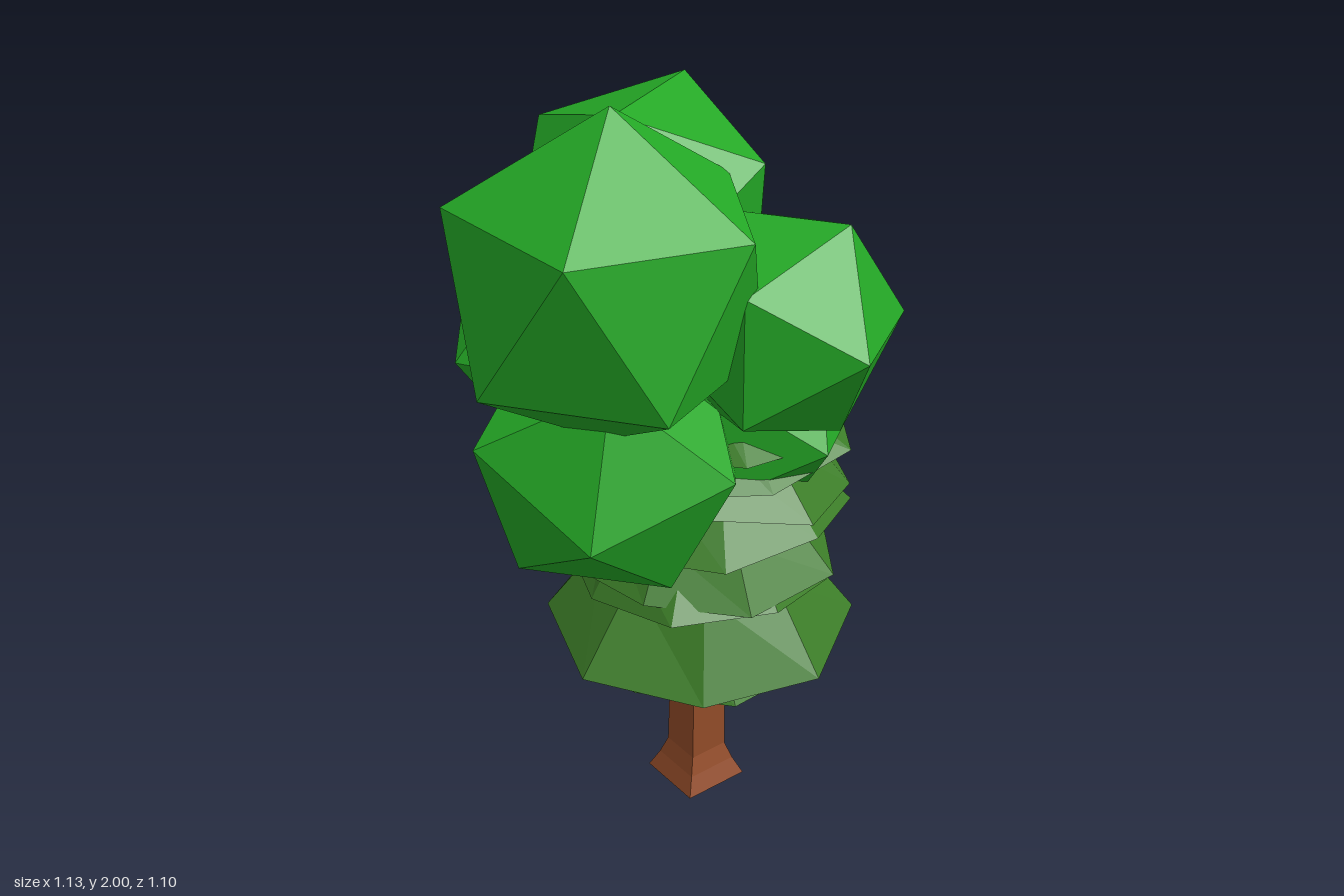
import * as THREE from 'three';

const flat = (name, color) => {
  const m = new THREE.MeshStandardMaterial({ color, flatShading: true });
  m.name = name;
  return m;
};

// Orthonormal frame whose x axis is a and whose xy plane holds b
function frame(a, b) {
  const x = a.clone().normalize();
  const z = x.clone().cross(b).normalize();
  return new THREE.Matrix4().makeBasis(x, z.clone().cross(x), z);
}

// Icosahedron turned so that one corner points along a and a neighbouring corner towards b
function clumpGeometry(radius, a, b) {
  const t = (1 + Math.sqrt(5)) / 2;
  const from = frame(new THREE.Vector3(-1, t, 0), new THREE.Vector3(1, t, 0));
  const to = frame(new THREE.Vector3(...a), new THREE.Vector3(...b));
  return new THREE.IcosahedronGeometry(radius, 0).applyMatrix4(to.multiply(from.invert()));
}

// Drooping skirt of needles with eight uneven corners and a hollow underside
function skirtGeometry(radius, height, topRadius, phase) {
  const profile = [[0, height * 0.5], [radius, 0], [topRadius, height], [0, height + 0.02]]
    .map(([r, y]) => new THREE.Vector2(r, y));
  const g = new THREE.LatheGeometry(profile, 8, phase);
  const p = g.attributes.position;
  for (let i = 0; i < p.count; i++) {
    const x = p.getX(i), z = p.getZ(i), r = Math.hypot(x, z);
    if (r < radius * 0.9) continue;
    const a = Math.atan2(z, x);
    const k = 1 + 0.05 * Math.sin(3 * a + phase * 5);
    p.setXYZ(i, x * k, p.getY(i) + 0.02 * Math.sin(2 * a + phase * 7), z * k);
  }
  return g;
}

export function createModel() {
  const model = new THREE.Group();
  model.name = 'tree';
  const bark = flat('bark brown', 0x914b28);
  const needles = flat('needle green', 0x3c7d28);
  const leaves = flat('leaf green', 0x24a826);

  const add = (name, geometry, material, x, y, z) => {
    const mesh = new THREE.Mesh(geometry, material);
    mesh.name = name;
    mesh.position.set(x, y, z);
    model.add(mesh);
    return mesh;
  };

  // Square trunk with a flared foot
  const trunk = [[0, 0], [0.094, 0], [0.072, 0.05], [0.056, 0.1], [0.05, 0.5], [0.045, 0.9], [0, 0.9]]
    .map(([half, y]) => new THREE.Vector2(half * Math.SQRT2, y));
  add('trunk', new THREE.LatheGeometry(trunk, 4, Math.PI / 4), bark, 0.163, 0, -0.035);

  // Stacked skirts: rim height, radius, height, top radius, centre x, tilt
  const skirts = [
    [0.465, 0.335, 0.2, 0.2, 0.165, 0.05],
    [0.535, 0.405, 0.22, 0.25, 0.165, 0.0],
    [0.69, 0.345, 0.14, 0.24, 0.17, -0.05],
    [0.76, 0.35, 0.14, 0.24, 0.175, 0.06],
    [0.86, 0.36, 0.15, 0.22, 0.19, -0.07],
    [0.98, 0.365, 0.14, 0.2, 0.205, -0.06],
    [1.06, 0.35, 0.14, 0.17, 0.205, 0.0],
    [1.13, 0.34, 0.16, 0.13, 0.21, -0.06],
    [1.27, 0.17, 0.14, 0.07, 0.28, -0.08],
  ];
  skirts.forEach(([y, radius, height, top, x, tilt], i) => {
    const mesh = add('needleSkirt' + (i + 1),
      skirtGeometry(radius, height, top, Math.PI / 8 + i * 0.55), needles, x, y, -0.04);
    mesh.rotation.set(i % 2 ? 0.03 : -0.03, 0, tilt);
  });

  // Pointed top
  add('needleTip', new THREE.ConeGeometry(0.07, 0.16, 6), needles, 0.33, 1.44, -0.03);

  // Leaf clumps: name, centre, radius, direction of one corner, direction of its neighbour
  const clumps = [
    ['topLeafClump', [-0.22, 1.615, 0.115], 0.385, [0, 0.38, 0.02], [-0.26, 0.16, 0.23]],
    ['rearTopLeafClump', [0.07, 1.64, -0.135], 0.337, [0.16, 0.3, -0.06], [0.14, 0.18, 0.26]],
    ['frontLeafClump', [0.145, 1.48, 0.26], 0.29, [0, 0, 1], [0.08, 0.26, 0.13]],
    ['lowerRightLeafClump', [-0.14, 1.12, 0], 0.35, [-0.22, -0.25, -0.06], [-0.22, -0.07, 0.23]],
    ['rearLeafClump', [-0.08, 1.31, -0.297], 0.285, [-0.12, 0.15, -0.213], [-0.12, -0.15, -0.213]],
    ['smallLeafClump', [0.31, 1.43, -0.255], 0.21, [0.16, 0.11, -0.09], [0.19, -0.07, 0.08]],
    ['lowerLeftLeafClump', [0.23, 1.175, -0.02], 0.36, [0.27, 0.205, -0.16], [0.325, -0.035, 0.16]],
  ];
  for (const [name, centre, radius, a, b] of clumps) {
    add(name, clumpGeometry(radius, a, b), leaves, ...centre);
  }
  return model;
}
